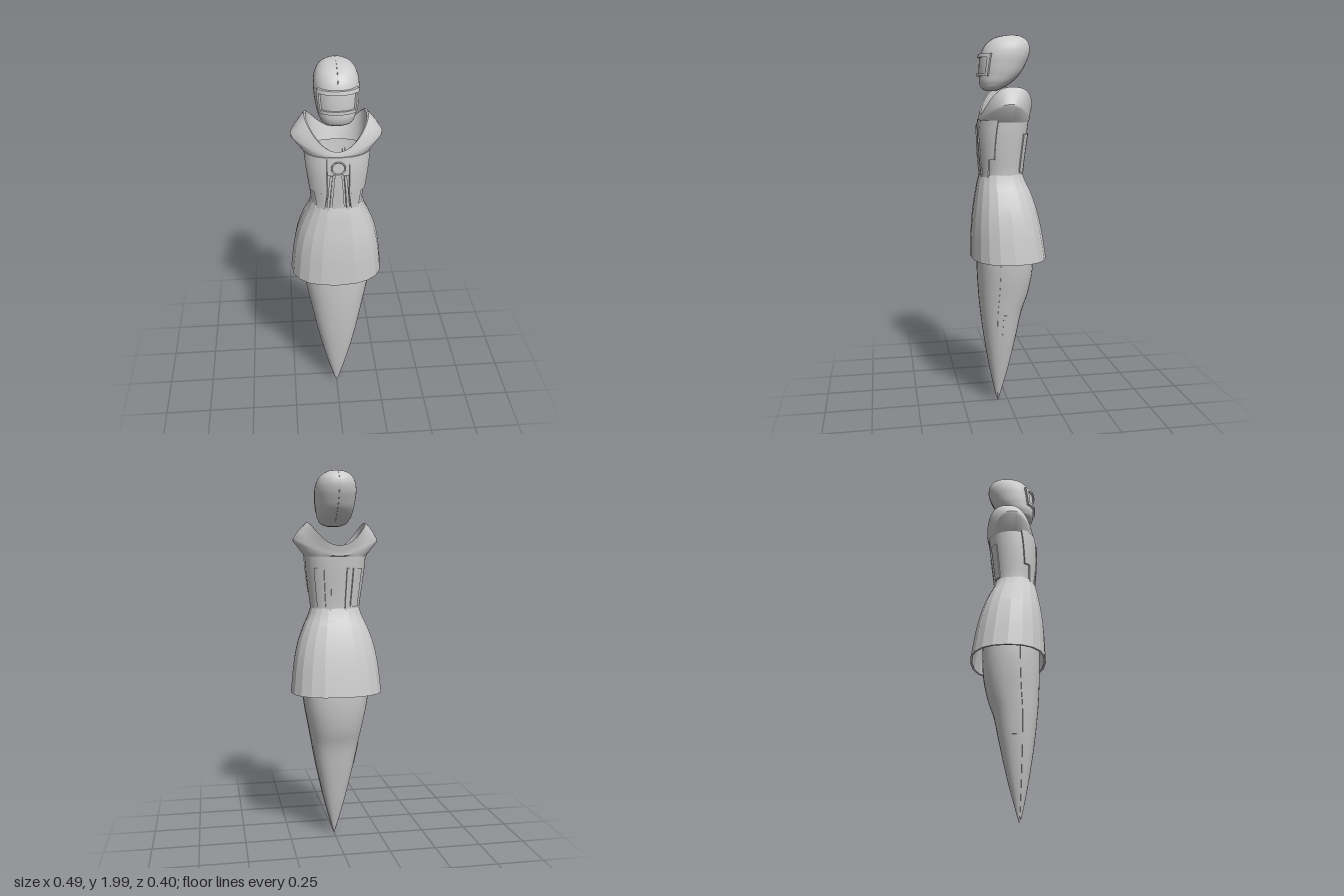
import * as THREE from 'three';
import { toCreasedNormals } from 'three/addons/utils/BufferGeometryUtils.js';

const { PI, sin, cos, abs, sign } = Math;
const lerp = THREE.MathUtils.lerp;
const material = new THREE.MeshStandardMaterial({ color: 0xcccccc, side: THREE.DoubleSide });

// Grid surface from a rule (i, j) -> [x, y, z]
function grid(nu, nv, rule, crease = 0.6) {
  const pos = [], idx = [];
  for (let j = 0; j <= nv; j++)
    for (let i = 0; i <= nu; i++) pos.push(...rule(i, j));
  for (let j = 0; j < nv; j++)
    for (let i = 0; i < nu; i++) {
      const a = j * (nu + 1) + i, b = a + 1, c = b + nu + 1, d = c - 1;
      idx.push(a, b, c, a, c, d);
    }
  const geo = new THREE.BufferGeometry();
  geo.setAttribute('position', new THREE.Float32BufferAttribute(pos, 3));
  geo.setIndex(idx);
  // crease at a larger scale so that close vertices stay apart
  geo.scale(100, 100, 100);
  const out = toCreasedNormals(geo, crease);
  return out.scale(0.01, 0.01, 0.01);
}

// Body rule from sections [y, half width, front z, back z]; angle 0 = front, PI/2 = +x
function body(sections, power) {
  const curve = new THREE.CubicInterpolant(sections.map(s => s[0]), sections.flatMap(s => s.slice(1)), 3);
  const round = v => sign(v) * abs(v) ** (2 / power);
  return (a, y, off = 0) => {
    const [rx, zf, zb] = curve.evaluate(y);
    return [
      round(sin(a)) * Math.max(0, rx + off), y,
      (zf + zb) / 2 + round(cos(a)) * Math.max(0, (zf - zb) / 2 + off)
    ];
  };
}

// Full skin of a body between two heights
const skin = (rule, y0, y1, nu, nv, off = 0, crease = 0.6) =>
  grid(nu, nv, (i, j) => rule((i % nu) / nu * 2 * PI, lerp(y0, y1, j / nv), off), crease);

// Raised plate lying on a body, with edge walls sinking to `inner`
function plate(rule, a0, a1, y0, y1, off, inner = -0.004, nu = 10, nv = 10) {
  const clamp = THREE.MathUtils.clamp;
  return grid(nu + 2, nv + 2, (i, j) => {
    const u = clamp(i - 1, 0, nu) / nu, v = clamp(j - 1, 0, nv) / nv;
    const edge = i === 0 || j === 0 || i === nu + 2 || j === nv + 2;
    const from = Array.isArray(a0) ? lerp(...a0, v) : a0;
    const to = Array.isArray(a1) ? lerp(...a1, v) : a1;
    return rule(lerp(from, to, u), lerp(y0, y1, v), edge ? inner : off);
  });
}

export function createModel() {
  const model = new THREE.Group();
  const add = (name, geo, parent = model) => {
    const mesh = new THREE.Mesh(geo, material);
    mesh.name = name;
    parent.add(mesh);
    return mesh;
  };
  const group = name => {
    const g = new THREE.Group();
    g.name = name;
    model.add(g);
    return g;
  };

  // Tapering lower body with a front shell
  const legs = body([
    [0.01, 0, 0.056, 0.052], [0.06, 0.015, 0.068, 0.038], [0.2, 0.054, 0.097, 0],
    [0.4, 0.1, 0.13, -0.045], [0.55, 0.129, 0.148, -0.077], [0.63, 0.144, 0.155, -0.105],
    [0.74, 0.165, 0.161, -0.128], [0.84, 0.178, 0.163, -0.135], [1.1, 0.18, 0.16, -0.13]
  ], 2.4);
  const lower = group('lowerBody');
  add('legs', skin(legs, 0.01, 1.08, 32, 40), lower);
  add('frontLegShell', plate(legs, -1.3, 1.3, 0.03, 1.05, 0.004, -0.004, 16, 30), lower);
  for (const s of [-1, 1]) {
    const a = s > 0 ? 1.55 : -1.75;
    add('calfPanel', plate(legs, [a, a], [a + 0.2, a + 0.2], 0.42, 0.54, 0.003), lower);
  }

  // Bell skirt with a thick hem
  const skirtRule = body([
    [0.84, 0.244, 0.2, -0.2], [0.92, 0.236, 0.198, -0.188], [1, 0.226, 0.195, -0.174],
    [1.1, 0.205, 0.186, -0.15], [1.2, 0.168, 0.17, -0.115], [1.25, 0.144, 0.161, -0.09],
    [1.29, 0.132, 0.15, -0.076]
  ], 2.4);
  const skirt = group('skirt');
  add('skirtOuter', skin(skirtRule, 0.84, 1.29, 20, 16, 0, 0.25), skirt);
  add('skirtLining', skin(skirtRule, 0.84, 1.2, 20, 12, -0.01, 0.25), skirt);
  add('skirtHem', grid(20, 1, (i, j) => skirtRule((i % 20) / 20 * 2 * PI, 0.84, j ? 0 : -0.01)), skirt);

  // Torso
  const torsoRule = body([
    [1.24, 0.13, 0.142, -0.072], [1.3, 0.132, 0.143, -0.074], [1.4, 0.145, 0.15, -0.085],
    [1.5, 0.157, 0.152, -0.098], [1.58, 0.163, 0.146, -0.106]
  ], 2.3);
  const torso = group('torso');
  add('bodice', skin(torsoRule, 1.24, 1.575, 48, 16), torso);

  // Chest armour
  add('centreStrip', plate(torsoRule, [-0.2, -0.07], [0.2, 0.07], 1.26, 1.48, 0.008), torso);
  add('upperChest', plate(torsoRule, -0.28, 0.28, 1.475, 1.57, 0.008), torso);
  for (const s of [-1, 1]) {
    const side = (name, a0, a1, y0, y1, off) => {
      const flip = v => Array.isArray(v) ? v.map(k => -k) : -v;
      add(name, s > 0 ? plate(torsoRule, a0, a1, y0, y1, off)
        : plate(torsoRule, flip(a1), flip(a0), y0, y1, off), torso);
    };
    side('chestRib', [0.27, 0.13], [0.37, 0.2], 1.27, 1.475, 0.012);
    side('waistPlate', [0.45, 0.32], [0.8, 0.85], 1.275, 1.37, 0.01);
    side('breastPlate', [0.32, 0.28], [1.12, 1.2], 1.37, 1.57, 0.01);
    side('backRib', PI - 0.3, PI - 0.22, 1.28, 1.5, 0.006);
    side('backPanel', PI - 0.85, PI - 0.45, 1.3, 1.5, 0.006);
  }
  // Plain round chest boss
  const ring = add('chestRing', new THREE.TorusGeometry(0.033, 0.004, 8, 32), torso);
  ring.position.set(0, 1.515, 0.161);

  // Winged collar: bodice edge, shoulder tip, neckline, inner wall
  const neckX = a => 0.155 * sign(sin(a)) * abs(sin(a)) ** (cos(a) < 0 ? 0.6 : 0.85);
  const neckRow = (a, inset, drop) => {
    const c = cos(a), x = neckX(a);
    const z = c > 0 ? 0.02 + 0.124 * c ** 0.9 : 0.02 - 0.138 * abs(c) ** 0.6;
    const base = lerp(1.615, 1.595, (c + 1) / 2);
    return [x * (1 - inset), base + 5.4 * x * x - drop, (z - 0.01) * (1 - inset) + 0.01];
  };
  const wingRow = (a, grow, dy) => {
    const s2 = sin(a) ** 2, p = torsoRule(a, 1.575, 0.004);
    return [p[0] * (1 + grow * s2), p[1] + 0.075 * s2 + dy, p[2]];
  };
  const mid = (p, q, t, lift) => p.map((v, k) => lerp(v, q[k], t) + (k === 1 ? lift : 0));
  add('collar', grid(64, 7, (i, j) => {
    const a = (i % 64) / 64 * 2 * PI, s2 = sin(a) ** 2;
    const tip = wingRow(a, 0.35, 0), neck = neckRow(a, 0, 0);
    return [
      torsoRule(a, 1.56), wingRow(a, 0.34, -0.012), tip,
      mid(tip, neck, 0.35, 0.008 * s2), mid(tip, neck, 0.7, 0.006 * s2), neck,
      neckRow(a, 0.05, 0.004), torsoRule(a, 1.55, -0.012)
    ][j];
  }));

  // Helmet
  const headRule = body([
    [1.716, 0.03, 0.11, 0.06], [1.725, 0.06, 0.13, 0.04], [1.75, 0.083, 0.145, -0.005],
    [1.8, 0.099, 0.147, -0.06], [1.85, 0.106, 0.146, -0.09], [1.9, 0.108, 0.139, -0.11],
    [1.94, 0.1, 0.12, -0.113], [1.97, 0.082, 0.09, -0.1], [1.99, 0.052, 0.045, -0.072],
    [1.998, 0.022, 0, -0.046], [2, 0, -0.02, -0.026]
  ], 2.3);
  const helmet = group('helmet');
  add('helmetShell', skin(headRule, 1.716, 2, 40, 48), helmet);
  add('chinBase', grid(40, 1, (i, j) => headRule((i % 40) / 40 * 2 * PI, 1.716, j ? 0 : -1)), helmet);

  // Seam along the crown
  const seam = [];
  for (let y = 1.91; y < 1.998; y += 0.01) seam.push(new THREE.Vector3(...headRule(0, y)));
  for (let y = 1.997; y > 1.74; y -= 0.015) seam.push(new THREE.Vector3(...headRule(PI, y)));
  add('crownSeam', new THREE.TubeGeometry(new THREE.CatmullRomCurve3(seam), 60, 0.0015, 6), helmet);

  // Visor frame and recessed glass
  const w = 0.92, t = 0.14;
  add('visorGlass', plate(headRule, -w + t, w - t, 1.8, 1.89, 0.002), helmet);
  add('visorTop', plate(headRule, -w, w, 1.884, 1.902, 0.013, -0.004, 20, 2), helmet);
  add('visorBottom', plate(headRule, -w, w, 1.79, 1.806, 0.012, -0.004, 20, 2), helmet);
  for (const s of [-1, 1])
    add('visorSide', plate(headRule, s > 0 ? w - t : -w, s > 0 ? w : -w + t, 1.8, 1.89, 0.0125), helmet);

  return model;
}
